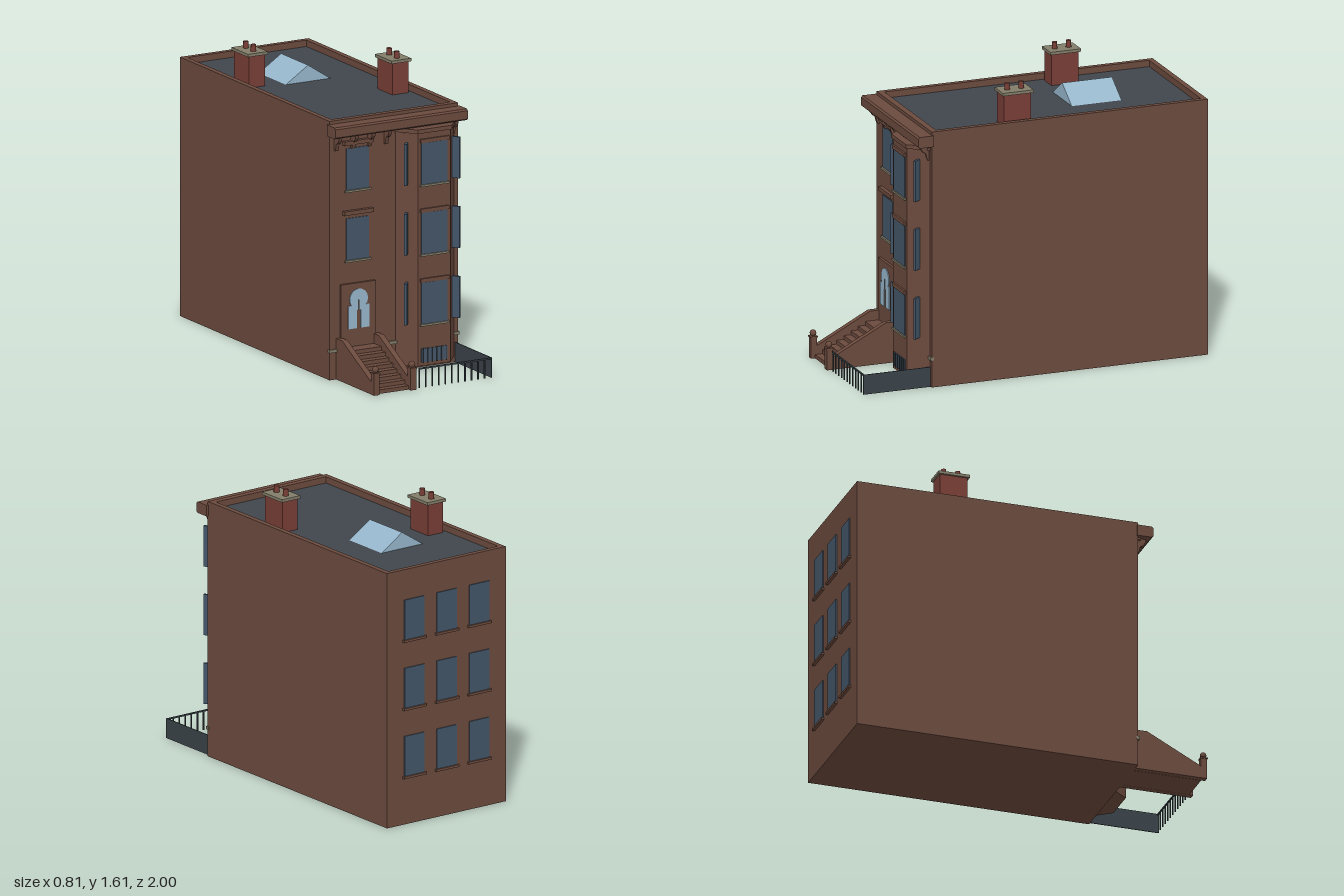
import * as THREE from 'three';

const mat = (name, color, extra = {}) => Object.assign(new THREE.MeshStandardMaterial({ color, ...extra }), { name });

export function createModel() {
  const root = new THREE.Group();
  root.name = 'townhouse';
  const brown = mat('brownstone', 0x6b4a3d);
  const slate = mat('roofSlate', 0x40464c);
  const glass = mat('windowGlass', 0x435568);
  const pale = mat('paleGlass', 0x96b6cb);
  const stone = mat('sillStone', 0x827c69);
  const brick = mat('chimneyBrick', 0x783e36);
  const iron = mat('railingIron', 0x3a4248);

  const add = (name, geo, m, parent = root) => {
    const mesh = new THREE.Mesh(geo, m);
    mesh.name = name;
    parent.add(mesh);
    return mesh;
  };
  // Box given by its low and high limits on each axis
  const box = (name, m, x0, x1, y0, y1, z0, z1, parent = root) => {
    const mesh = add(name, new THREE.BoxGeometry(x1 - x0, y1 - y0, z1 - z0), m, parent);
    mesh.position.set((x0 + x1) / 2, (y0 + y1) / 2, (z0 + z1) / 2);
    return mesh;
  };
  const shapeOf = (pts) => new THREE.Shape(pts.map(([a, b]) => new THREE.Vector2(a, b)));
  const extrude = (shape, depth) => new THREE.ExtrudeGeometry(shape, { depth, bevelEnabled: false, curveSegments: 16 });
  // Profile of (z, y) points, swept along x from x0 to x1
  const sideProfile = (name, m, pts, x0, x1) => {
    const geo = extrude(shapeOf(pts), x1 - x0);
    geo.rotateY(-Math.PI / 2);
    add(name, geo, m).position.x = x1;
  };
  // Plan of (x, z) points, raised from y0 to y1
  const plan = (name, m, pts, y0, y1) => {
    const geo = extrude(shapeOf(pts.map(([x, z]) => [x, -z])), y1 - y0);
    geo.rotateX(-Math.PI / 2);
    add(name, geo, m).position.y = y0;
  };

  // Main block, roof and parapet
  const F = 0.595, B = -0.985, W = 0.395, roofY = 1.385, top = 1.42;
  box('body', brown, -W, W, 0, roofY - 0.004, B, F);
  box('roof', slate, -W + 0.03, W - 0.03, roofY - 0.004, roofY, B + 0.03, F - 0.035);
  for (const s of [-1, 1]) {
    const a = s * W, b = s * (W - 0.03);
    box('sideParapet', brown, Math.min(a, b), Math.max(a, b), roofY - 0.004, top, B, F);
  }
  box('backParapet', brown, -W + 0.03, W - 0.03, roofY - 0.004, top, B, B + 0.03);
  box('frontParapet', brown, -W + 0.03, W - 0.03, roofY - 0.004, top, F - 0.035, F);

  // Cornice with chamfered edges, bed moulding and scrolled brackets
  sideProfile('cornice', brown, [[0.588, 1.34], [0.668, 1.34], [0.677, 1.348], [0.677, 1.393],
    [0.668, 1.402], [0.588, 1.402]], -0.407, 0.407);
  box('bedMoulding', brown, -0.38, 0.38, 1.328, 1.34, F, 0.615);
  for (let i = 0; i < 8; i++) {
    const x = -0.357 + i * 0.102;
    sideProfile('bracket', brown, [[F, 1.255], [0.606, 1.255], [0.613, 1.275], [0.617, 1.295],
      [0.632, 1.302], [0.645, 1.32], [0.65, 1.34], [F, 1.34]], x - 0.01, x + 0.01);
  }

  // Three-sided bay
  plan('bay', brown, [[0.01, F - 0.01], [0.01, F], [0.09, 0.695], [0.29, 0.695], [0.37, F], [0.37, F - 0.01]], 0.035, 1.315);
  plan('bayCap', brown, [[0, F - 0.01], [0, F], [0.085, 0.703], [0.295, 0.703], [0.38, F], [0.38, F - 0.01]], 1.312, 1.334);

  // Bay windows on three floors, with angled side panes
  for (const y of [0.265, 0.648, 1.03]) {
    box('bayWindow', glass, 0.11, 0.27, y, y + 0.227, 0.69, 0.7);
    box('baySill', stone, 0.102, 0.278, y - 0.011, y, 0.69, 0.707);
    box('bayLintel', brown, 0.102, 0.278, y + 0.229, y + 0.25, 0.69, 0.706);
    for (const s of [-1, 1]) {
      const pane = add('baySidePane', new THREE.BoxGeometry(0.088, 0.227, 0.014), glass);
      pane.position.set(0.19 + s * 0.14, y + 0.1135, 0.645);
      pane.rotation.y = -s * Math.atan2(0.1, 0.08);
    }
  }

  // Barred basement window
  box('basementWindow', glass, 0.11, 0.27, 0.055, 0.13, 0.69, 0.7);
  for (let i = 0; i < 6; i++) {
    const x = 0.12 + i * 0.028;
    box('basementBar', iron, x - 0.002, x + 0.002, 0.052, 0.133, 0.7, 0.705);
  }

  // Windows over the entrance
  for (const y of [0.645, 1.029]) {
    box('frontWindow', glass, -0.294, -0.154, y, y + 0.229, F - 0.005, F + 0.005);
    box('frontSill', stone, -0.304, -0.146, y - 0.011, y, F - 0.005, F + 0.015);
    box('frontLintel', brown, -0.314, -0.136, y + 0.25, y + 0.272, F - 0.005, F + 0.022);
  }

  // Rear windows
  for (const y of [0.27, 0.65, 1.03]) {
    for (const x of [-0.215, 0, 0.215]) {
      box('rearWindow', glass, x - 0.066, x + 0.066, y, y + 0.222, B - 0.006, B + 0.004);
      box('rearSill', brown, x - 0.076, x + 0.076, y - 0.013, y, B - 0.015, B + 0.004);
    }
  }

  // Stone water table
  box('waterTable', stone, -0.4, 0.4, 0.15, 0.167, F - 0.01, F + 0.008);

  // Entrance surround and arched door glazing
  box('doorSurround', brown, -0.332, -0.118, 0.17, 0.517, F - 0.005, F + 0.015);
  const door = new THREE.Shape();
  door.moveTo(-0.064, 0.27);
  door.lineTo(-0.013, 0.27);
  door.lineTo(-0.013, 0.37);
  door.lineTo(0.013, 0.37);
  door.lineTo(0.013, 0.27);
  door.lineTo(0.064, 0.27);
  door.lineTo(0.064, 0.396);
  door.lineTo(0.044, 0.396);
  door.absarc(0, 0.43, 0.0556, -0.658, Math.PI + 0.658, false);
  door.lineTo(-0.064, 0.396);
  add('doorGlazing', extrude(door, 0.005), pale).position.set(-0.226, 0, F + 0.0145);
  box('doorMullion', brown, -0.2275, -0.2245, 0.37, 0.425, F + 0.015, F + 0.021);

  // Stoop: steps, sloping side walls and newel posts
  const rise = 0.0215, run = 0.041;
  for (let i = 0; i < 8; i++) {
    box('step', brown, -0.32, -0.13, i * rise, (i + 1) * rise, F, 0.975 - i * run);
  }
  for (const x of [-0.338, -0.113]) {
    sideProfile('stoopWall', brown, [[F, 0], [0.97, 0], [0.97, 0.065], [0.66, 0.225], [F, 0.225]], x - 0.016, x + 0.016);
    box('newelPost', brown, x - 0.017, x + 0.017, 0, 0.114, 0.963, 0.997);
    box('newelCap', brown, x - 0.02, x + 0.02, 0.114, 0.122, 0.96, 1);
    add('newelBall', new THREE.SphereGeometry(0.018, 12, 8), brown).position.set(x, 0.138, 0.98);
  }

  // Areaway railing
  box('frontRail', iron, -0.068, 0.38, 0.102, 0.11, 0.971, 0.979);
  for (let i = 0; i < 12; i++) {
    const x = -0.064 + i * 0.04;
    box('railingBar', iron, x - 0.003, x + 0.003, 0, 0.104, 0.972, 0.978);
  }
  box('sideRailing', iron, 0.375, 0.38, 0, 0.11, F, 0.98);

  // Gabled skylight
  const gable = shapeOf([[-0.137, roofY], [0.137, roofY], [0, 1.475]]);
  add('skylight', extrude(gable, 0.285), pale).position.z = -0.595;

  // Chimneys with caps and pots
  for (const [x, z] of [[-0.293, -0.424], [0.293, 0.083]]) {
    const chimney = new THREE.Group();
    chimney.name = 'chimney';
    chimney.position.set(x, 0, z);
    root.add(chimney);
    box('chimneyStack', brick, -0.05, 0.05, roofY, 1.56, -0.078, 0.078, chimney);
    box('chimneyCap', stone, -0.061, 0.061, 1.558, 1.574, -0.088, 0.088, chimney);
    for (const dz of [-0.04, 0.04]) {
      add('chimneyPot', new THREE.CylinderGeometry(0.014, 0.016, 0.038, 8), brick, chimney).position.set(0, 1.592, dz);
    }
  }
  return root;
}
